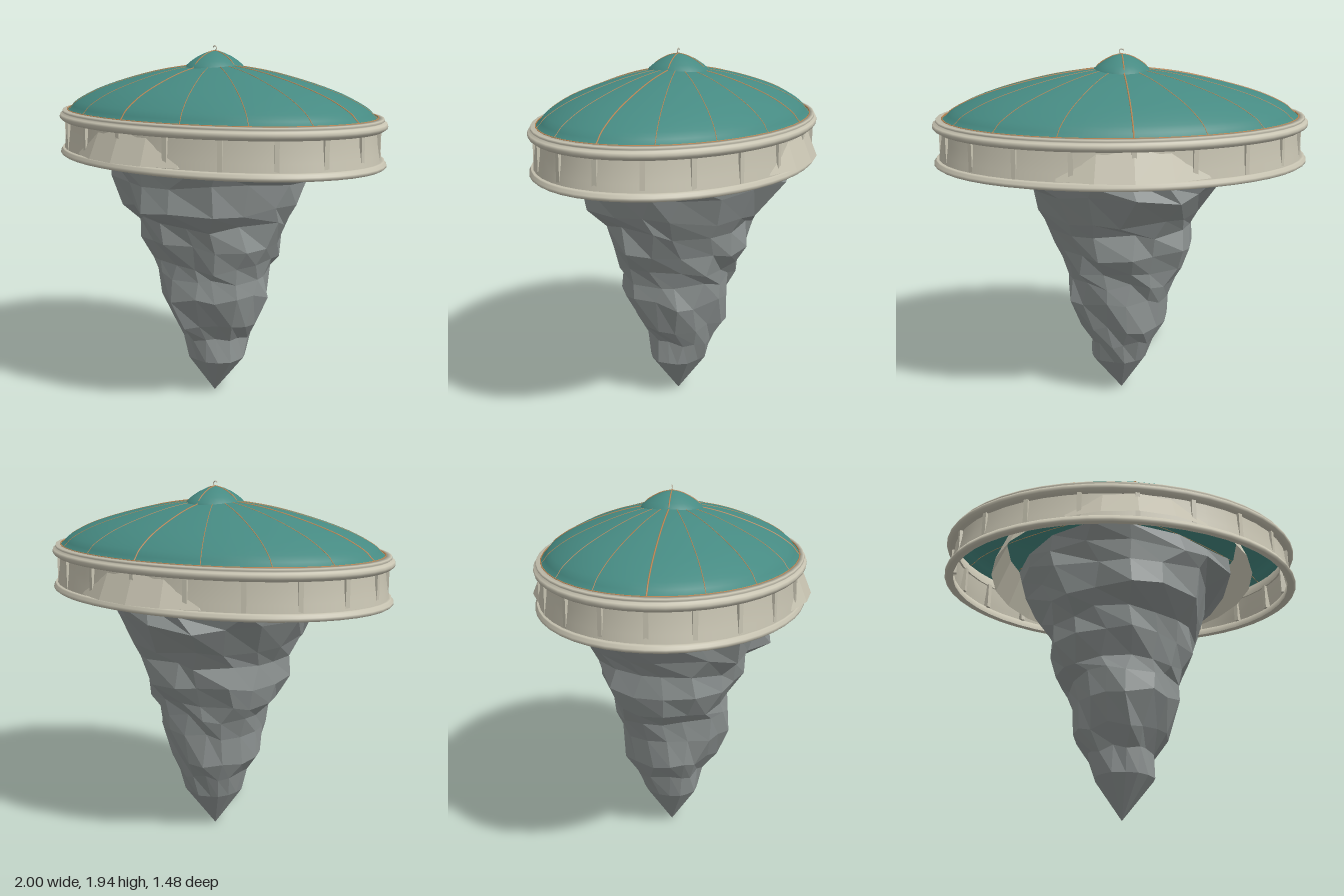
import * as THREE from 'three';

const DEPTH = 0.71; // the ring and dome are ellipses: z is squeezed by this
const SIDES = 48;

const mat = (name, color, extra = {}) => {
  const m = new THREE.MeshStandardMaterial({ color, side: THREE.DoubleSide, ...extra });
  m.name = name;
  return m;
};

// small seeded random, -1..1
function seeded(seed) {
  return () => {
    seed = (seed * 16807) % 2147483647;
    return (seed / 2147483647) * 2 - 1;
  };
}

const toV2 = (list) => list.map(([r, y]) => new THREE.Vector2(r, y));

// Jagged rock cone made of rings of jittered points
function rockGeometry() {
  // height, +x, +z, -x, -z reach
  const rows = [
    [0.215, 0.17, 0.15, 0.15, 0.15], [0.34, 0.17, 0.17, 0.18, 0.21],
    [0.44, 0.24, 0.24, 0.25, 0.25], [0.60, 0.30, 0.31, 0.27, 0.29],
    [0.71, 0.30, 0.30, 0.30, 0.30], [0.78, 0.34, 0.33, 0.36, 0.33],
    [0.90, 0.37, 0.37, 0.41, 0.39], [1.02, 0.40, 0.40, 0.40, 0.40],
    [1.10, 0.46, 0.51, 0.45, 0.44], [1.25, 0.49, 0.53, 0.53, 0.56],
    [1.34, 0.60, 0.55, 0.56, 0.56], [1.42, 0.59, 0.56, 0.57, 0.56],
  ];
  const n = 16;
  const rand = seeded(4177);
  const pos = [0, 0, 0];
  const index = [];
  rows.forEach(([y, px, pz, nx, nz], j) => {
    for (let i = 0; i < n; i++) {
      const a = ((i + rand() * 0.25) / n) * Math.PI * 2;
      const c = Math.cos(a), s = Math.sin(a);
      const k = 1 + rand() * 0.075;
      const top = j === rows.length - 1;
      pos.push(c * (c > 0 ? px : nx) * k, y + (top || j === 0 ? 0 : rand() * 0.02), s * (s > 0 ? pz : nz) * k);
    }
  });
  const at = (j, i) => 1 + j * n + (i % n);
  for (let i = 0; i < n; i++) index.push(0, at(0, i), at(0, i + 1));
  for (let j = 0; j < rows.length - 1; j++) {
    for (let i = 0; i < n; i++) {
      const a = at(j, i), b = at(j, i + 1), c = at(j + 1, i + 1), d = at(j + 1, i);
      index.push(a, d, c, a, c, b);
    }
  }
  // flat top
  const centre = pos.length / 3;
  pos.push(0, 1.42, 0);
  for (let i = 0; i < n; i++) index.push(centre, at(rows.length - 1, i + 1), at(rows.length - 1, i));
  const g = new THREE.BufferGeometry();
  g.setAttribute('position', new THREE.Float32BufferAttribute(pos, 3));
  g.setIndex(index);
  g.computeVertexNormals();
  return g;
}

export function createModel() {
  const model = new THREE.Group();
  model.name = 'floatingPavilion';
  const stone = mat('rockGrey', 0x8f9594, { flatShading: true });
  const beige = mat('wallBeige', 0xc8c4b2);
  const beigeFlat = beige;
  const teal = mat('domeTeal', 0x468a82);
  const copper = mat('seamCopper', 0xbd8a58);

  const add = (name, geometry, material, parent = model) => {
    const m = new THREE.Mesh(geometry, material);
    m.name = name;
    parent.add(m);
    return m;
  };
  const ellipse = (name, points, material) => {
    const m = add(name, new THREE.LatheGeometry(toV2(points), SIDES), material);
    m.scale.z = DEPTH;
    return m;
  };

  add('rock', rockGeometry(), stone);

  // Round drum that pokes through the elliptical wall at front and back
  const drum = new THREE.CylinderGeometry(0.66, 0.74, 0.195, 24, 1, true).toNonIndexed();
  drum.computeVertexNormals();
  add('innerDrum', drum, beigeFlat).position.y = 1.4825;

  // Elliptical wall with a moulding at each edge
  ellipse('wall', [[0.975, 1.36], [0.965, 1.42], [0.955, 1.48], [0.95, 1.55]], beige);
  ellipse('lowerRim', [
    [0.95, 1.345], [0.985, 1.342], [0.997, 1.35], [0.997, 1.362], [0.985, 1.372], [0.985, 1.38], [0.95, 1.382], [0.95, 1.345],
  ], beige);
  ellipse('upperRim', [
    [0.94, 1.525], [0.975, 1.528], [0.995, 1.54], [1, 1.553], [0.995, 1.565], [0.972, 1.57],
    [0.982, 1.578], [0.978, 1.588], [0.95, 1.59], [0.94, 1.525],
  ], beige);

  // Upright ribs set through the wall
  const ribs = new THREE.Group();
  ribs.name = 'wallRibs';
  model.add(ribs);
  for (let i = 0; i < 20; i++) {
    const a = (i / 20) * Math.PI * 2;
    const rib = add('rib', new THREE.BoxGeometry(0.024, 0.15, 0.034), beige, ribs);
    rib.position.set(0.95 * Math.sin(a), 1.455, 0.95 * DEPTH * Math.cos(a));
    rib.rotation.y = Math.atan2(Math.sin(a) * DEPTH, Math.cos(a));
  }

  // Dome shell
  const profile = [
    [0.955, 1.58], [0.925, 1.6], [0.88, 1.638], [0.75, 1.698], [0.57, 1.753], [0.36, 1.802], [0.16, 1.832], [0, 1.845],
  ];
  const curve = new THREE.SplineCurve(toV2(profile)).getPoints(21);
  ellipse('dome', curve.map((p) => [Math.max(p.x, 0), p.y]), teal);

  // Nearly round cap on the crown
  const cap = add('domeCap', new THREE.LatheGeometry(toV2([
    [0.153, 1.82], [0.145, 1.836], [0.12, 1.858], [0.085, 1.882], [0.045, 1.901], [0.015, 1.909], [0, 1.91],
  ]), 32), teal);
  cap.scale.z = 1.08;

  // Sixteen seams running up the dome, the four on the axes bolder
  const seams = new THREE.Group();
  seams.name = 'domeSeams';
  model.add(seams);
  for (let i = 0; i < 16; i++) {
    const a = (i / 16) * Math.PI * 2;
    const bold = i % 4 === 0;
    const path = new THREE.CatmullRomCurve3(curve.slice(0, -2).map((p) =>
      new THREE.Vector3(p.x * Math.sin(a), p.y, p.x * DEPTH * Math.cos(a))));
    add('seam', new THREE.TubeGeometry(path, 40, bold ? 0.004 : 0.0022, 5), copper, seams);
    if (!bold) continue;
    const capPath = new THREE.CatmullRomCurve3([[0.153, 1.82], [0.12, 1.858], [0.085, 1.882], [0.045, 1.901], [0, 1.911]]
      .map(([r, y]) => new THREE.Vector3(r * Math.sin(a), y, r * 1.08 * Math.cos(a))));
    add('capSeam', new THREE.TubeGeometry(capPath, 16, 0.0035, 5), copper, seams);
  }
  const band = add('domeBaseBand', new THREE.TorusGeometry(0.947, 0.004, 5, SIDES), copper);
  band.rotation.x = Math.PI / 2;
  band.scale.y = DEPTH;
  band.position.y = 1.59;

  // Small hook at the very top
  const hook = add('topHook', new THREE.TorusGeometry(0.012, 0.003, 6, 14, Math.PI * 1.4), beige);
  hook.position.y = 1.924;
  hook.rotation.z = -Math.PI / 2;

  return model;
}
